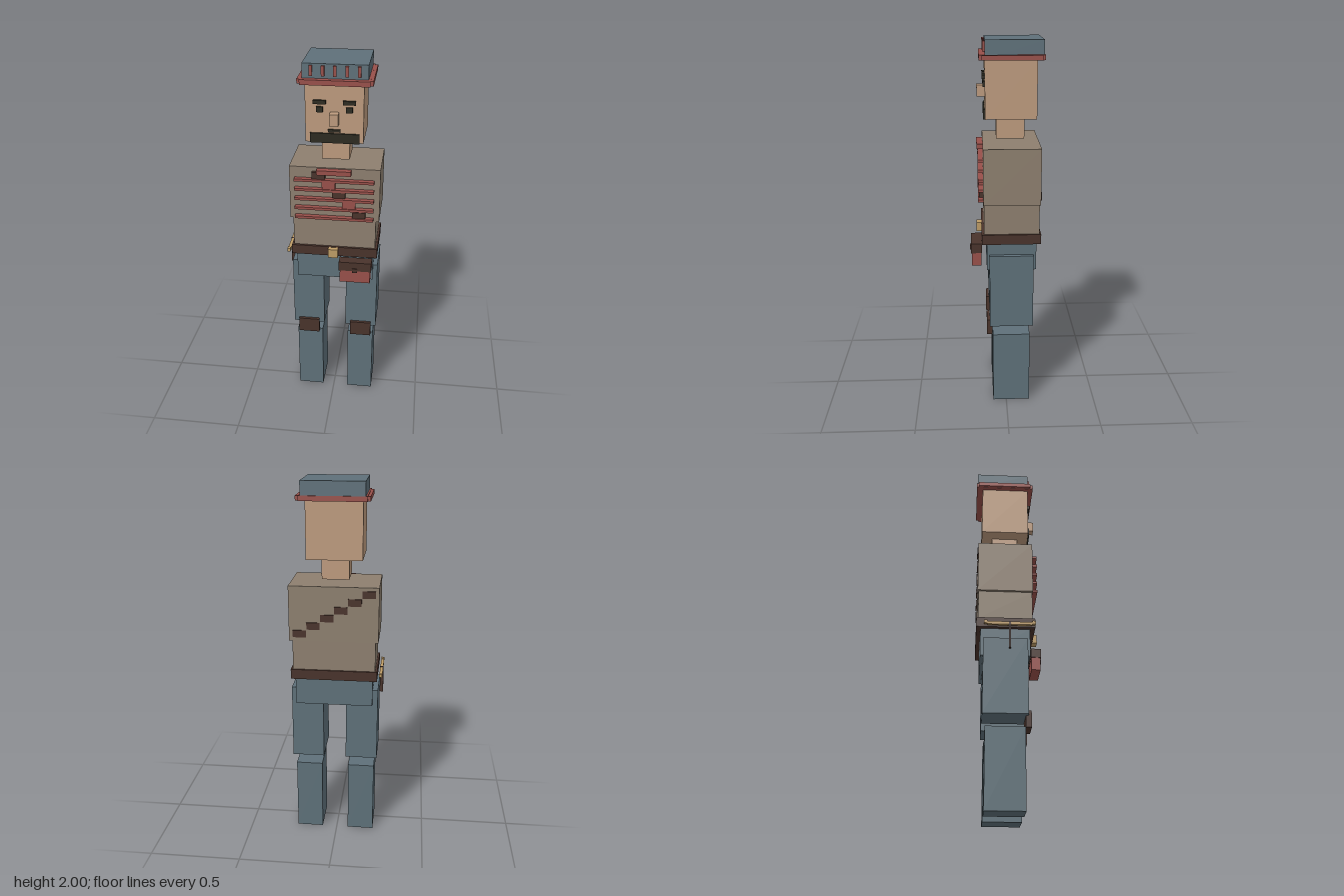
import * as THREE from 'three';

const mat = (name, color) => {
  const m = new THREE.MeshStandardMaterial({ color });
  m.name = name;
  return m;
};

export function createModel() {
  const blue = mat('slate blue cloth', 0x5e7079);
  const tan = mat('tan shirt', 0x8d7f6f);
  const skin = mat('skin', 0xbc9a7d);
  const red = mat('brick red', 0x98504a);
  const brown = mat('dark leather', 0x49332b);
  const gold = mat('brass', 0xbe9c66);
  const dark = mat('dark hair', 0x2c2a20);

  const model = new THREE.Group();
  model.name = 'figure';

  // Box given by its extents along each axis
  const box = (name, material, x0, x1, y0, y1, z0, z1) => {
    const mesh = new THREE.Mesh(new THREE.BoxGeometry(x1 - x0, y1 - y0, z1 - z0), material);
    mesh.position.set((x0 + x1) / 2, (y0 + y1) / 2, (z0 + z1) / 2);
    mesh.name = name;
    model.add(mesh);
    return mesh;
  };
  // The body is symmetric about x = CX; build a part on both sides from its offsets
  const CX = 0.009;
  const pair = (name, material, inner, outer, ...yz) => {
    box(name + 'Left', material, CX + inner, CX + outer, ...yz);
    box(name + 'Right', material, CX - outer, CX - inner, ...yz);
  };

  // Legs
  pair('shin', blue, 0.074, 0.22, 0, 0.416, -0.13, 0.074);
  pair('thigh', blue, 0.062, 0.236, 0.477, 0.89, -0.145, 0.09);
  pair('kneePad', brown, 0.09, 0.208, 0.416, 0.503, 0.077, 0.106);

  // Body
  box('hips', blue, -0.198, 0.22, 0.803, 0.956, -0.16, 0.104);
  box('belt', brown, -0.222, 0.242, 0.956, 1.01, -0.183, 0.13);
  box('buckle', gold, -0.021, 0.032, 0.958, 1.008, 0.13, 0.157);
  box('waist', tan, -0.211, 0.23, 1.01, 1.173, -0.174, 0.117);
  box('chest', tan, -0.226, 0.247, 1.173, 1.47, -0.179, 0.12);
  box('neck', skin, -0.064, 0.08, 1.49, 1.604, -0.1, 0.047);

  // Braided stripes across the chest
  for (let i = 0; i < 5; i++) {
    const y = 1.19 + i * 0.0535;
    box('chestStripe', red, -0.198, 0.217, y - 0.007, y + 0.007, 0.12, 0.147);
  }
  // Diagonal strap in steps: front, then back
  box('collarPatch', red, -0.08, 0.098, 1.44, 1.465, 0.12, 0.152);
  [
    [brown, 1.413, 1.449], [red, 1.35, 1.4], [brown, 1.31, 1.343],
    [red, 1.243, 1.293], [brown, 1.198, 1.232],
  ].forEach(([m, y0, y1], i) => {
    const x = -0.106 + i * 0.053;
    box('frontStrapStep', m, x, x + 0.069, y0, y1, 0.12, 0.142);
  });
  for (let i = 0; i < 6; i++) {
    const x = 0.191 - i * 0.073;
    const y = 1.213 + i * 0.044;
    box('backStrapStep', brown, x - 0.035, x + 0.035, y - 0.019, y + 0.019, -0.185, -0.179);
  }

  // Belt pouch
  box('pouch', red, 0.047, 0.211, 0.827, 0.9, 0.132, 0.183);
  box('pouchFlap', brown, 0.041, 0.217, 0.9, 0.952, 0.13, 0.187);
  box('pouchTab', brown, 0.115, 0.142, 0.893, 0.917, 0.183, 0.193);

  // Hanging tool at the hip
  box('toolBar', gold, -0.248, -0.232, 0.96, 0.976, -0.124, 0.112);
  box('toolTipBack', gold, -0.248, -0.232, 0.965, 0.984, -0.142, -0.124);
  box('toolTipFront', gold, -0.248, -0.232, 0.965, 0.984, 0.112, 0.13);
  box('toolHandle', brown, -0.25, -0.231, 0.829, 0.978, -0.011, 0);

  // Head and face
  box('head', skin, -0.138, 0.154, 1.604, 1.9, -0.16, 0.106);
  pair('eye', dark, 0.058, 0.09, 1.762, 1.79, 0.106, 0.116);
  pair('eyebrow', dark, 0.043, 0.106, 1.804, 1.823, 0.106, 0.12);
  box('nose', skin, -0.013, 0.032, 1.703, 1.763, 0.106, 0.148);
  box('mouth', dark, -0.024, 0.04, 1.66, 1.674, 0.106, 0.114);
  box('moustache', dark, -0.114, 0.135, 1.603, 1.653, 0.106, 0.115);

  // Cap with its cross-stepped band and front ribs
  box('cap', blue, -0.151, 0.174, 1.905, 2, -0.191, 0.105);
  box('capBandLong', red, -0.16, 0.184, 1.902, 1.928, -0.195, 0.136);
  box('capBandWide', red, -0.175, 0.199, 1.903, 1.927, -0.183, 0.12);
  for (let i = 0; i < 5; i++) {
    const x = -0.107 + i * 0.0593;
    box('capRib', red, x - 0.008, x + 0.008, 1.942, 1.992, 0.105, 0.118);
  }

  return model;
}
